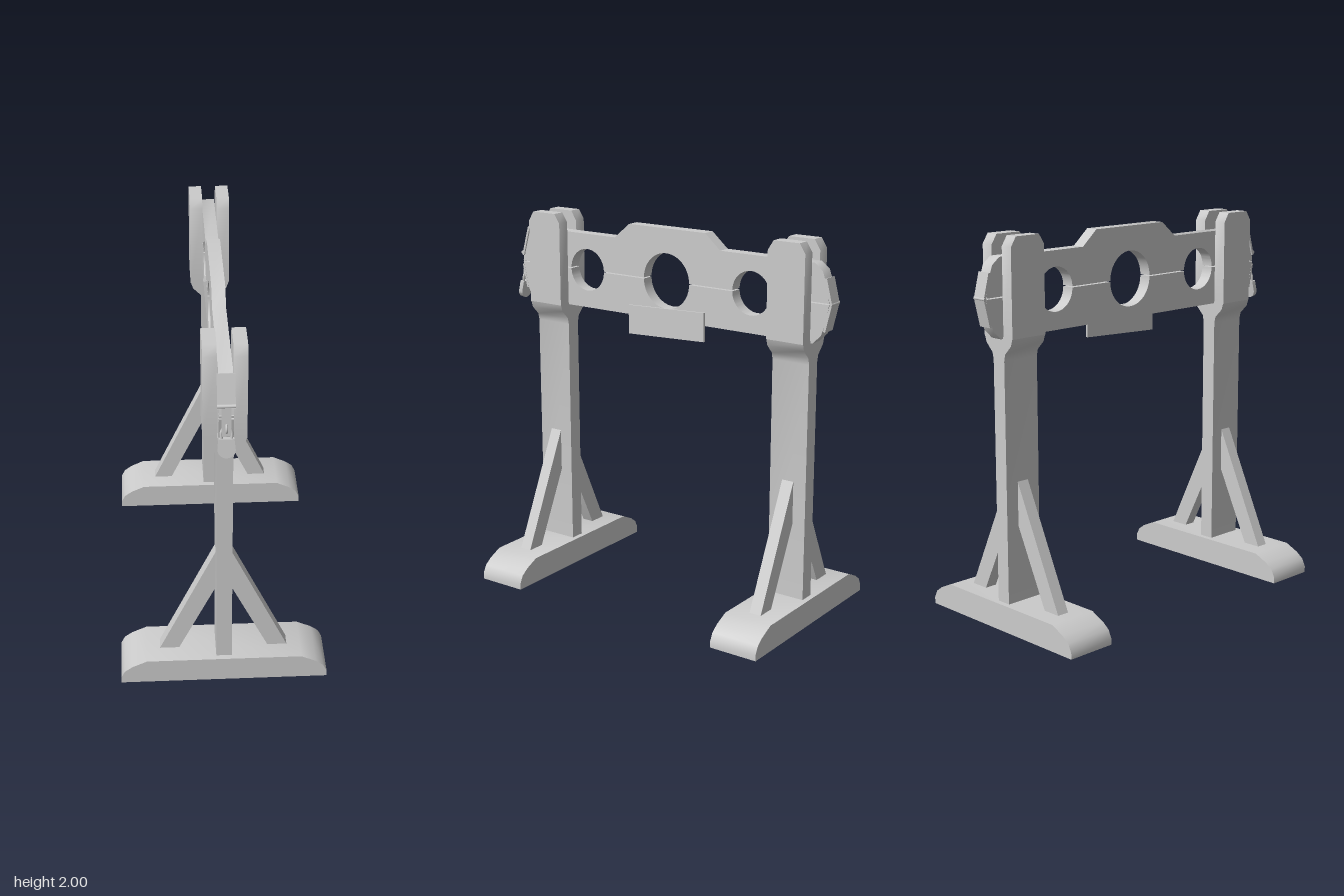
import * as THREE from 'three';
import { toCreasedNormals } from 'three/addons/utils/BufferGeometryUtils.js';

const material = new THREE.MeshStandardMaterial({ color: 0xcccccc });
const thin = new THREE.MeshStandardMaterial({ color: 0xcccccc, side: THREE.DoubleSide });
const MID = 1.705; // height of the split between the two boards

function add(parent, name, geometry, mat = material) {
  const mesh = new THREE.Mesh(geometry, mat);
  mesh.name = name;
  parent.add(mesh);
  return mesh;
}

const polygon = (pts) => new THREE.Shape(pts.map(([a, b]) => new THREE.Vector2(a, b)));

// Extrude a front profile (x, y) along z, centred
function extrudeZ(shape, depth) {
  const g = new THREE.ExtrudeGeometry(shape, { depth, bevelEnabled: false, curveSegments: 20 });
  return toCreasedNormals(g.translate(0, 0, -depth / 2), 0.7);
}

// Extrude a side profile (z, y) along x, centred
const extrudeX = (shape, depth) => extrudeZ(shape, depth).rotateY(-Math.PI / 2);

// Flat strap between two (z, y) points
function strap(parent, name, [z1, y1], [z2, y2], width, thickness) {
  const g = new THREE.BoxGeometry(width, Math.hypot(z2 - z1, y2 - y1), thickness);
  const mesh = add(parent, name, g);
  mesh.position.set(0, (y1 + y2) / 2, (z1 + z2) / 2);
  mesh.rotation.x = Math.atan2(z2 - z1, y2 - y1);
  return mesh;
}

// Foot: a hollow shell, open underneath
function footGeometry(depth) {
  const half = [[0.535, 0], [0.535, 0.035], [0.515, 0.075], [0.475, 0.105], [0.4, 0.14]];
  const pts = [...half, ...half.map(([x, y]) => [-x, y]).reverse()];
  const pos = [];
  const h = depth / 2;
  for (let i = 0; i < pts.length - 1; i++) {
    const [a, b] = pts[i], [c, d] = pts[i + 1];
    pos.push(a, b, h, a, b, -h, c, d, -h, a, b, h, c, d, -h, c, d, h);
  }
  const cap = new THREE.ShapeGeometry(polygon(pts)).toNonIndexed().attributes.position;
  for (const s of [1, -1]) {
    for (let i = 0; i < cap.count; i++) {
      const j = s > 0 ? i : i - (i % 3) + 2 - (i % 3); // reverse winding for the far cap
      pos.push(cap.getX(j), cap.getY(j), s * h);
    }
  }
  const g = new THREE.BufferGeometry();
  g.setAttribute('position', new THREE.Float32BufferAttribute(pos, 3));
  return toCreasedNormals(g, 0.7);
}

function createStand(name, z) {
  const stand = new THREE.Group();
  stand.name = name;
  stand.position.z = z;
  add(stand, 'foot', footGeometry(0.268), thin);

  // Post flaring into the fork
  const side = [[0.04, 0.13], [0.04, 1.39], [0.048, 1.425], [0.092, 1.47], [0.105, 1.51]];
  const profile = [...side, ...side.map(([x, y]) => [-x, y]).reverse()];
  add(stand, 'post', extrudeZ(polygon(profile), 0.21));

  for (const s of [1, -1]) {
    // Fork prong with clipped top corners
    const prong = polygon([[-0.105, 1.505], [0.105, 1.505], [0.105, 1.95], [0.073, 2], [-0.073, 2], [-0.105, 1.95]]);
    add(stand, 'forkProng', extrudeX(prong, 0.067)).position.x = s * 0.0715;

    // Diagonal brace
    const brace = [[0.235, 0.13], [0.335, 0.13], [0.035, 0.78], [0.035, 0.55]].map(([x, y]) => [s * x, y]);
    add(stand, 'brace', extrudeZ(polygon(brace), 0.066));
  }
  return stand;
}

// Half of the stocks board: s = 1 upper, s = -1 lower
function boardGeometry(s) {
  const y = (d) => MID + s * d;
  const shape = new THREE.Shape();
  shape.moveTo(-0.965, y(0.003));
  for (const [c, r] of [[-0.52, 0.11], [-0.003, 0.143], [0.515, 0.11]]) {
    shape.lineTo(c - r, y(0.003));
    shape.absarc(c, y(0.003), r, Math.PI, 0, s > 0);
  }
  const end = [[0.965, 0.003], [0.95, 0.09], [0.925, 0.16], [0.88, s > 0 ? 0.195 : 0.205]];
  const crest = s > 0 ? [[0.33, 0.195], [0.235, 0.275], [-0.243, 0.275], [-0.335, 0.195]] : [];
  const outline = [...end, ...crest, ...end.map(([z, d]) => [-z, d]).reverse()];
  for (const [z, d] of outline) shape.lineTo(z, y(d));
  return extrudeX(shape, 0.068);
}

function createHinge() {
  const hinge = new THREE.Group();
  hinge.name = 'hinge';
  strap(hinge, 'upperHingeLeaf', [-0.945, 1.83], [-0.977, MID], 0.075, 0.012);
  strap(hinge, 'lowerHingeLeaf', [-0.977, MID], [-0.943, 1.565], 0.075, 0.012);
  const pin = add(hinge, 'hingePin', new THREE.CylinderGeometry(0.008, 0.008, 0.08, 10));
  pin.rotation.z = Math.PI / 2;
  pin.position.set(0, MID, -0.977);
  return hinge;
}

function createLatch() {
  const latch = new THREE.Group();
  latch.name = 'latch';
  strap(latch, 'hasp', [0.915, 1.9], [0.96, 1.74], 0.085, 0.012);
  strap(latch, 'haspTongue', [0.962, 1.76], [0.975, 1.6], 0.045, 0.012);
  strap(latch, 'staplePlate', [0.965, 1.69], [0.937, 1.56], 0.07, 0.012);
  const pin = add(latch, 'haspPin', new THREE.CylinderGeometry(0.009, 0.009, 0.085, 10));
  pin.rotation.z = Math.PI / 2;
  pin.position.set(0, 1.755, 0.963);
  const staple = add(latch, 'staple', new THREE.TorusGeometry(0.022, 0.006, 8, 16));
  staple.rotation.y = Math.PI / 2;
  staple.position.set(0, 1.64, 0.968);

  // Padlock hanging at a slight tilt
  const padlock = new THREE.Group();
  padlock.name = 'padlock';
  padlock.position.set(0, 1.59, 0.978);
  padlock.rotation.x = -0.15;
  const body = new THREE.Shape();
  body.moveTo(0.036, 0);
  body.lineTo(0.042, -0.055);
  body.absarc(0, -0.055, 0.042, 0, Math.PI, true);
  body.lineTo(-0.036, 0);
  add(padlock, 'padlockBody', extrudeZ(body, 0.024));
  const path = new THREE.CatmullRomCurve3(
    [[-0.023, -0.01], [-0.023, 0.035], [0, 0.062], [0.023, 0.035], [0.023, -0.01]].map(([x, y]) => new THREE.Vector3(x, y, 0)));
  add(padlock, 'shackle', new THREE.TubeGeometry(path, 20, 0.007, 8));
  latch.add(padlock);
  return latch;
}

export function createModel() {
  const model = new THREE.Group();
  model.name = 'pillory';
  model.add(createStand('frontStand', 0.752), createStand('backStand', -0.762));
  add(model, 'upperBoard', boardGeometry(1));
  add(model, 'lowerBoard', boardGeometry(-1));

  // Crooked sign plank fixed to one face
  const sign = polygon([[0.233, 1.397], [0.233, 1.552], [-0.245, 1.57], [-0.245, 1.417]]);
  add(model, 'signPlank', extrudeX(sign, 0.012)).position.x = 0.039;

  model.add(createHinge(), createLatch());
  return model;
}
